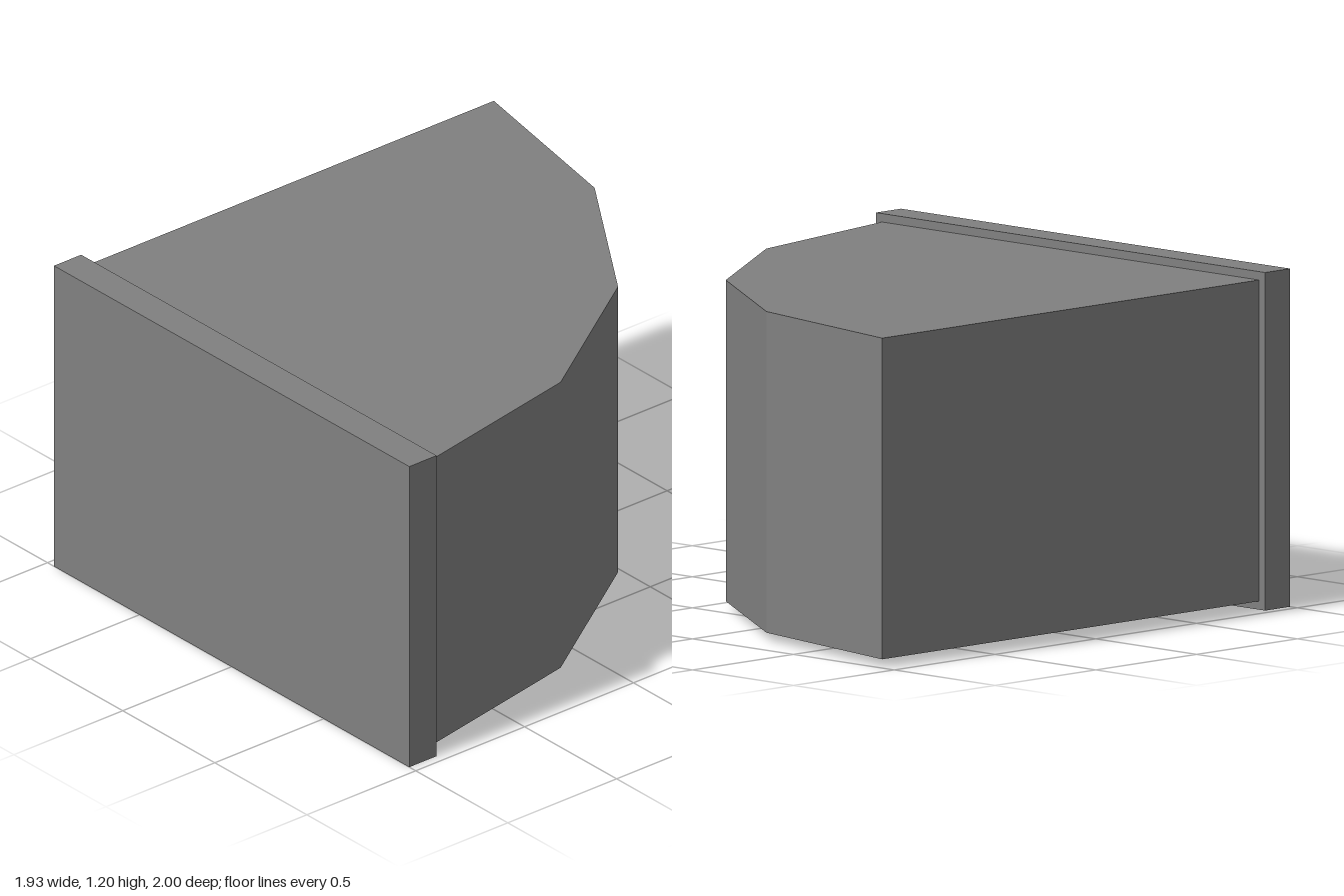
import * as THREE from 'three';

export function createModel() {
  const model = new THREE.Group();
  const grey = new THREE.MeshStandardMaterial({ color: 0x808080 });
  grey.name = 'grey';

  // Quarter-round body: a four-sided arc swept about the front left corner
  const radius = 1.87;
  const steps = 4;
  const outline = [new THREE.Vector2(0, 0)];
  for (let i = 0; i <= steps; i++) {
    const a = (i / steps) * Math.PI / 2;
    outline.push(new THREE.Vector2(Math.cos(a) * radius, Math.sin(a) * radius));
  }
  const bodyGeometry = new THREE.ExtrudeGeometry(new THREE.Shape(outline), {
    depth: 1.14,
    bevelEnabled: false,
  });
  bodyGeometry.rotateX(-Math.PI / 2);
  const body = new THREE.Mesh(bodyGeometry, grey);
  body.name = 'quarterRoundBody';
  body.position.set(-0.935, 0.03, 0.875);
  model.add(body);

  // Slightly larger flat panel across the front
  const panel = new THREE.Mesh(new THREE.BoxGeometry(1.93, 1.2, 0.125), grey);
  panel.name = 'frontPanel';
  panel.position.set(0, 0.6, 0.9375);
  model.add(panel);

  return model;
}
